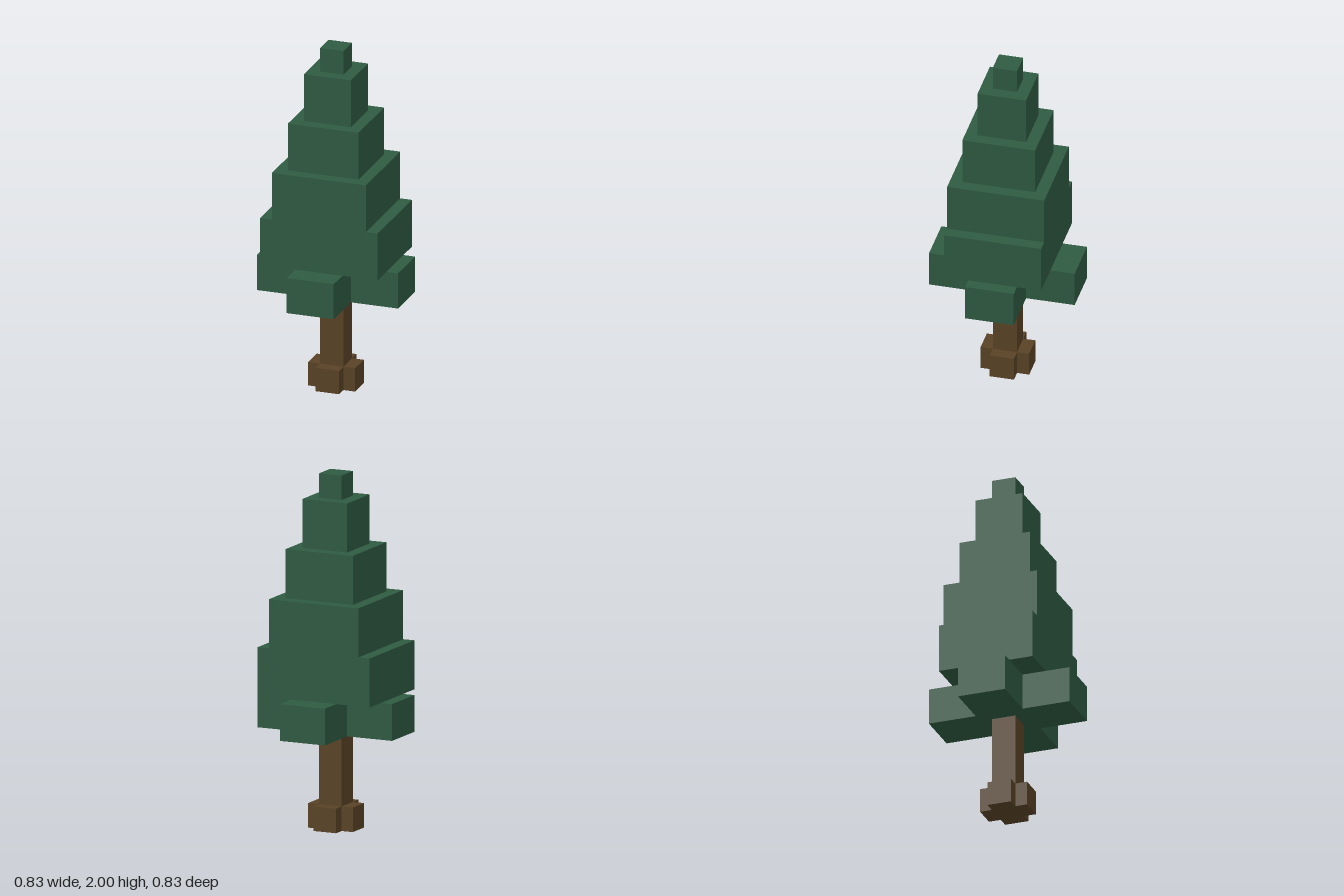
import * as THREE from 'three';

// One block; the tree is 29 blocks tall
const U = 2 / 29;

export function createModel() {
  const tree = new THREE.Group();
  tree.name = 'blockPineTree';

  const bark = new THREE.MeshStandardMaterial({ color: 0x5a4326 });
  bark.name = 'bark brown';
  const needles = new THREE.MeshStandardMaterial({ color: 0x2f5b42 });
  needles.name = 'needle green';

  function add(name, geometry, material, y) {
    const mesh = new THREE.Mesh(geometry, material);
    mesh.name = name;
    mesh.position.y = y * U;
    tree.add(mesh);
  }

  // Box given by half widths and bottom and top heights, in blocks
  function addBox(name, material, halfX, halfZ, bottom, top) {
    const geometry = new THREE.BoxGeometry(2 * halfX * U, (top - bottom) * U, 2 * halfZ * U);
    add(name, geometry, material, (bottom + top) / 2);
  }

  // Upright plus-shaped slab: arms reach out to `reach` and are 2 * half wide
  function addCross(name, material, reach, half, bottom, top) {
    const r = reach * U, h = half * U;
    const shape = new THREE.Shape([
      [r, -h], [r, h], [h, h], [h, r], [-h, r], [-h, h],
      [-r, h], [-r, -h], [-h, -h], [-h, -r], [h, -r], [h, -h],
    ].map(([x, y]) => new THREE.Vector2(x, y)));
    const geometry = new THREE.ExtrudeGeometry(shape, { depth: (top - bottom) * U, bevelEnabled: false });
    geometry.rotateX(-Math.PI / 2);
    add(name, geometry, material, bottom);
  }

  // Roots and trunk
  addCross('roots', bark, 2, 1, 0, 2);
  addBox('trunk', bark, 1, 1, 2, 8);

  // Lowest branches
  addCross('lowerBranches', needles, 6, 2, 8, 11);

  // Stacked foliage tiers: half x, half z, bottom, top
  [
    [5, 4, 11, 15],
    [4, 4, 15, 19],
    [3, 3, 19, 23],
    [2, 2, 23, 27],
    [1, 1, 27, 29],
  ].forEach((tier, i) => addBox(`foliageTier${i + 1}`, needles, ...tier));

  return tree;
}
